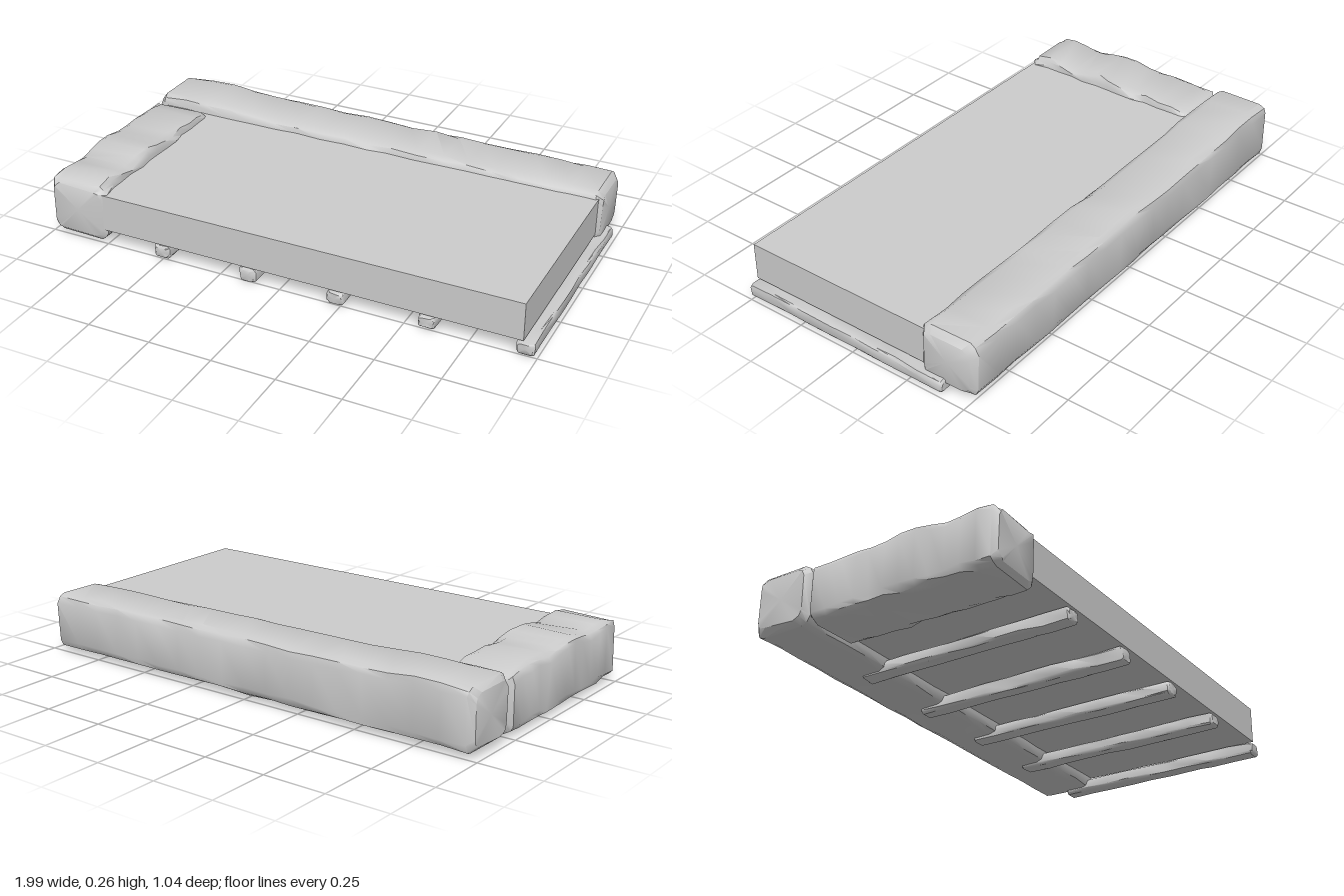
import * as THREE from 'three';
import { toCreasedNormals } from 'three/addons/utils/BufferGeometryUtils.js';

const material = new THREE.MeshStandardMaterial({ color: 0xcccccc });

function seeded(seed) {
  let s = seed * 7919 + 17;
  return () => (s = (s * 16807) % 2147483647) / 2147483647 - 0.5;
}

// Rough-hewn beam along z: chamfered cross-sections with a small wobble.
// top lists the height of the upper face at even steps along the beam.
function hewnBeam(name, { x0, x1, y0, z0, z1, top, bevel, wobble, steps, seed }) {
  const rand = seeded(seed);
  const cx = (x0 + x1) / 2, halfW = (x1 - x0) / 2;
  const pos = [], index = [], sides = 12;
  const heightAt = (t) => {
    const f = t * (top.length - 1), i = Math.min(Math.floor(f), top.length - 2);
    return THREE.MathUtils.lerp(top[i], top[i + 1], f - i);
  };
  const ring = (t, z, inset) => {
    const y1 = heightAt(t), cy = (y0 + y1) / 2;
    const w = halfW - inset, h = (y1 - y0) / 2 - inset, b = bevel, m = bevel * 0.3;
    const corner = [[w, h - b], [w - m, h - m], [w - b, h]];
    for (let q = 0; q < 4; q++) {
      const flipX = q === 1 || q === 2 ? -1 : 1, flipY = q > 1 ? -1 : 1;
      const pts = q % 2 ? [...corner].reverse() : corner;
      for (const [px, py] of pts) {
        pos.push(cx + px * flipX + rand() * wobble, cy + py * flipY + rand() * wobble, z + rand() * wobble * 0.5);
      }
    }
  };
  // End rings are pulled in to round off the cut ends
  ring(0, z0, bevel * 0.6);
  for (let i = 0; i <= steps; i++) {
    const t = i / steps;
    ring(t, THREE.MathUtils.lerp(z0 + bevel * 0.7, z1 - bevel * 0.7, t), 0);
  }
  ring(1, z1, bevel * 0.6);
  const rings = steps + 3;
  for (let i = 0; i < rings - 1; i++) {
    for (let j = 0; j < sides; j++) {
      const a = i * sides + j, b = i * sides + (j + 1) % sides;
      index.push(a, b, b + sides, a, b + sides, a + sides);
    }
  }
  // End caps
  const c0 = rings * sides, last = (rings - 1) * sides;
  pos.push(cx, (y0 + top[0]) / 2, z0, cx, (y0 + top[top.length - 1]) / 2, z1);
  for (let j = 0; j < sides; j++) {
    const k = (j + 1) % sides;
    index.push(c0, k, j, c0 + 1, last + j, last + k);
  }
  const geo = new THREE.BufferGeometry();
  geo.setAttribute('position', new THREE.Float32BufferAttribute(pos, 3));
  geo.setIndex(index);
  const mesh = new THREE.Mesh(toCreasedNormals(geo, 0.75), material);
  mesh.name = name;
  return mesh;
}

export function createModel() {
  const group = new THREE.Group();
  group.name = 'platform';

  // Flat slab
  const slab = new THREE.Mesh(new THREE.BoxGeometry(1.9, 0.15, 0.91), material);
  slab.name = 'slab';
  slab.position.set(0.0, 0.145, 0.055);
  group.add(slab);

  // Long beam along the back, turned so that its length runs along x
  const backBeam = hewnBeam('backBeam', {
    x0: 0.28, x1: 0.52, y0: 0.025, z0: -0.99, z1: 0.965,
    top: [0.262, 0.268, 0.256, 0.252, 0.25, 0.25, 0.25, 0.248, 0.246, 0.246],
    bevel: 0.034, wobble: 0.009, steps: 18, seed: 3,
  });
  backBeam.rotation.y = Math.PI / 2;
  group.add(backBeam);

  // Short beam along the right end
  group.add(hewnBeam('sideBeam', {
    x0: -0.99, x1: -0.745, y0: 0.022, z0: -0.275, z1: 0.518,
    top: [0.236, 0.25, 0.254, 0.25, 0.256, 0.27, 0.256, 0.244, 0.262, 0.248],
    bevel: 0.03, wobble: 0.012, steps: 12, seed: 8,
  }));

  // Supporting slats underneath
  [-0.5, -0.13, 0.23, 0.59, 0.958].forEach((x, i) => {
    const dip = i === 1 ? 0.006 : 0;
    group.add(hewnBeam('slat' + (i + 1), {
      x0: x - 0.033, x1: x + 0.033, y0: 0.012 - dip, z0: -0.395, z1: 0.512,
      top: [0.06, 0.062, 0.062, 0.066, 0.063],
      bevel: 0.011, wobble: 0.006, steps: 9, seed: 20 + i,
    }));
  });

  return group;
}
